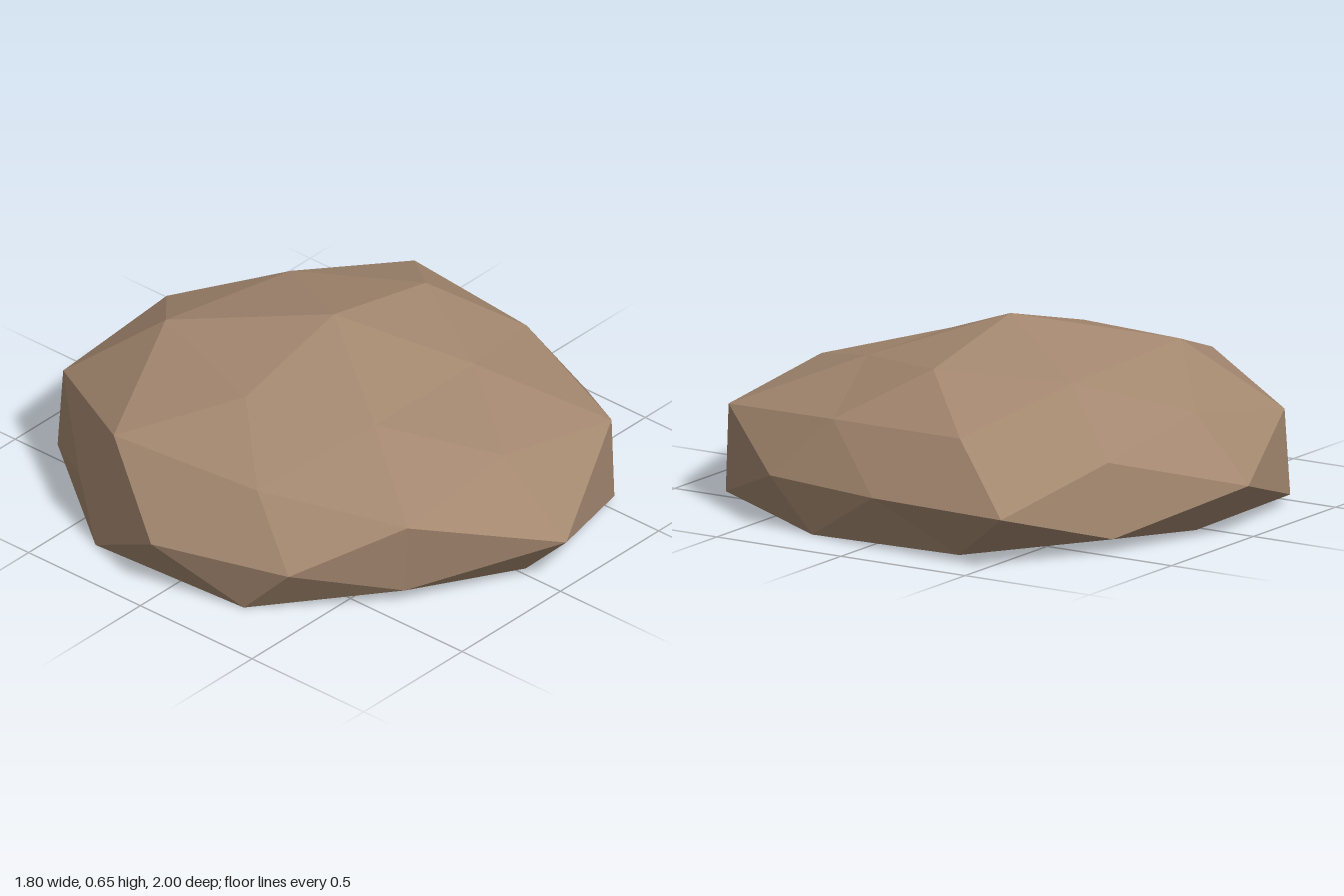
import * as THREE from 'three';

// Radial factor for each vertex of a once-divided icosahedron. Families are
// keyed by the dominant shape of the direction; entries run through the sign
// patterns (+++, -++, +-+, --+, ++-, -+-, +--, ---), zero counting as plus.
const FACTORS = {
  '1,0,0': [0.84, 0.93],
  '0,1,0': [0.96, 0, 0.95],
  '0,0,1': [1.04, 0, 0, 0, 0.96],
  '0.85,0,0.53': [0.89, 0.915, 0, 0, 1.018, 0.894],
  '0.53,0.85,0': [0.89, 0.855, 0.9, 0.9],
  '0,0.53,0.85': [0.894, 0, 1.01, 0, 0.88, 0, 0.88],
  '0.31,0.81,0.5': [0.815, 0.8, 0.9, 0.9, 0.85, 0.975, 0.9, 0.9],
  '0.81,0.5,0.31': [0.845, 0.85, 0.945, 1.0, 0.895, 0.965, 0.91, 1.045],
  '0.5,0.31,0.81': [0.995, 0.89, 1.005, 0.86, 0.825, 0.97, 0.865, 0.99],
};
const CENTRE = new THREE.Vector3(0.03, 0.18, -0.04);
const FLATTEN = 0.49;

// Push a unit direction out to the stone's surface, cutting it flat at y = 0
function place(v) {
  const axes = [v.x, v.y, v.z];
  const key = axes.map((n) => Math.round(Math.abs(n) * 100) / 100).join(',');
  const octant = axes.reduce((sum, n, i) => sum + (n < -0.01 ? 1 << i : 0), 0);
  v.multiplyScalar(FACTORS[key][octant]);
  v.y *= FLATTEN;
  v.add(CENTRE);
  v.y = Math.max(0, v.y);
}

export function createModel() {
  const stone = new THREE.MeshStandardMaterial({ color: 0xa3876f });
  stone.name = 'brown stone';
  stone.flatShading = true;

  // Faceted boulder with a flat underside
  const geometry = new THREE.IcosahedronGeometry(1, 1);
  const position = geometry.attributes.position;
  const v = new THREE.Vector3();
  for (let i = 0; i < position.count; i++) {
    place(v.fromBufferAttribute(position, i));
    position.setXYZ(i, v.x, v.y, v.z);
  }
  geometry.computeVertexNormals();

  const boulder = new THREE.Mesh(geometry, stone);
  boulder.name = 'boulder';
  const group = new THREE.Group();
  group.name = 'rock';
  group.add(boulder);
  return group;
}
